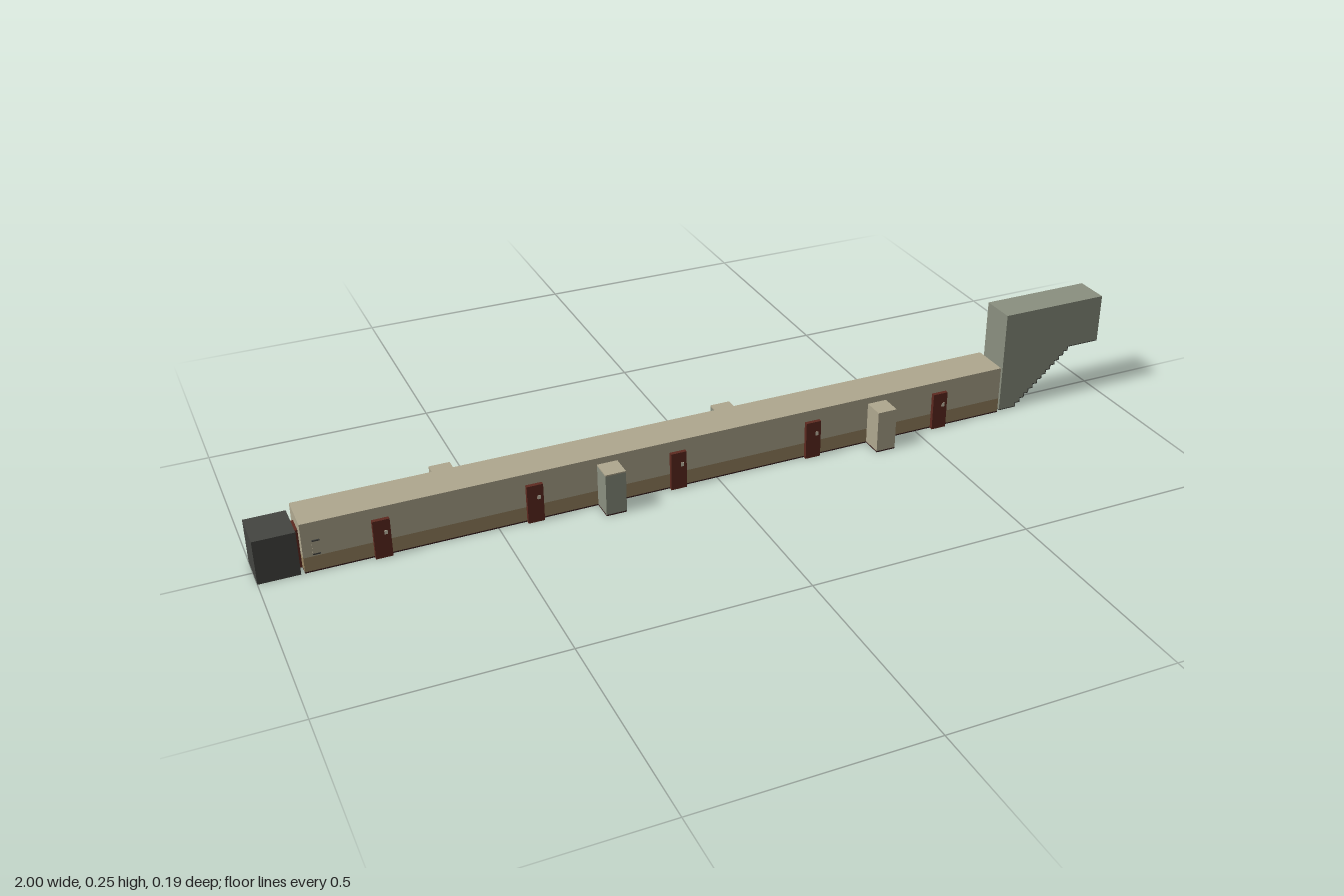
import * as THREE from 'three';

const material = (name, color) => {
  const m = new THREE.MeshStandardMaterial({ color });
  m.name = name;
  return m;
};

export function createModel() {
  const group = new THREE.Group();
  const wall = material('wall tan', 0xb0a88f);
  const lower = material('wainscot brown', 0x988460);
  const green = material('grey green', 0x8b9080);
  const red = material('door red', 0x5e2a20);
  const floor = material('floor maroon', 0x3a2020);
  const dark = material('charcoal', 0x444541);
  const pale = material('pale metal', 0xcfc8b4);

  // Box given by its minimum and maximum on each axis
  const box = (name, mat, x0, x1, y0, y1, z0, z1) => {
    const mesh = new THREE.Mesh(new THREE.BoxGeometry(x1 - x0, y1 - y0, z1 - z0), mat);
    mesh.position.set((x0 + x1) / 2, (y0 + y1) / 2, (z0 + z1) / 2);
    mesh.name = name;
    group.add(mesh);
    return mesh;
  };
  // Box on one side wall, d0 and d1 measured outwards from the centre line
  const sideBox = (name, mat, side, x, w, y0, y1, d0, d1) =>
    box(name, mat, x - w / 2, x + w / 2, y0, y1, Math.min(side * d0, side * d1), Math.max(side * d0, side * d1));

  // Long corridor
  box('corridorFloor', floor, -0.905, 0.722, 0, 0.003, -0.045, 0.045);
  box('corridorWainscot', lower, -0.905, 0.722, 0.003, 0.036, -0.045, 0.045);
  box('corridorWalls', wall, -0.905, 0.722, 0.036, 0.115, -0.045, 0.045);

  // Side doors with handle plates
  for (const side of [1, -1]) {
    for (let i = 0; i < 5; i++) {
      const x = -0.745 + i * 0.3255;
      sideBox('sideDoor', red, side, x, 0.036, 0, 0.089, 0.044, 0.054);
      sideBox('doorHandle', pale, side, x + side * 0.008, 0.007, 0.055, 0.064, 0.054, 0.0552);
    }
  }

  // Closets standing against the corridor
  const closets = [[-0.255, 1, green], [0.395, 1, wall], [-0.58, -1, wall], [0.07, -1, green]];
  for (const [x, side, mat] of closets) {
    sideBox('closetFloor', floor, side, x, 0.046, 0, 0.003, 0.045, 0.094);
    sideBox('closetWalls', mat, side, x, 0.046, 0.003, 0.097, 0.045, 0.094);
    sideBox('closetRoof', wall, side, x, 0.046, 0.097, 0.1, 0.045, 0.094);
  }

  // Small wall panel and service hatch near the closed end
  sideBox('wallPanel', wall, 1, -0.877, 0.016, 0.04, 0.071, 0.045, 0.047);
  for (const y of [0.04, 0.071]) sideBox('panelEdge', dark, 1, -0.877, 0.016, y, y + 0.003, 0.045, 0.0475);
  sideBox('serviceHatch', green, -1, -0.875, 0.025, 0, 0.07, 0.045, 0.053);

  // Closed end room and the doors at both corridor ends
  box('endRoom', dark, -1, -0.913, 0, 0.1, -0.045, 0.045);
  box('endRoomDoor', red, -0.914, -0.904, 0, 0.089, -0.02, 0.02);
  box('stairDoor', red, 0.721, 0.732, 0, 0.089, -0.02, 0.02);

  // Stepped underside of the stairwell
  const steps = 13;
  const path = [[0.73, 0], [0.775, 0]];
  for (let i = 0; i < steps; i++) {
    const x = 0.775 + (i * 0.145) / steps;
    const y = ((i + 1) * 0.13) / steps;
    path.push([x, y], [x + 0.145 / steps, y]);
  }
  path.push([0.99, 0.13]);
  const inner = path.map(([x, y]) => [Math.max(0.73, x - 0.002), y + 0.002]);
  inner[inner.length - 1][0] = 0.99;

  const extrude = (name, mat, points) => {
    const shape = new THREE.Shape(points.map(([x, y]) => new THREE.Vector2(x, y)));
    const mesh = new THREE.Mesh(new THREE.ExtrudeGeometry(shape, { depth: 0.08, bevelEnabled: false }), mat);
    mesh.position.z = -0.04;
    mesh.name = name;
    group.add(mesh);
  };
  extrude('stairwell', green, [...inner, [0.99, 0.245], [0.73, 0.245]]);
  extrude('stairs', dark, [...path, ...inner.slice().reverse()]);

  // Upper exit door
  box('exitDoorFrame', dark, 0.988, 0.997, 0.133, 0.221, -0.019, 0.019);
  box('exitDoor', green, 0.997, 0.9985, 0.133, 0.218, -0.0185, 0.0185);
  box('exitDoorWindow', dark, 0.9985, 1, 0.18, 0.206, 0.006, 0.013);

  return group;
}
